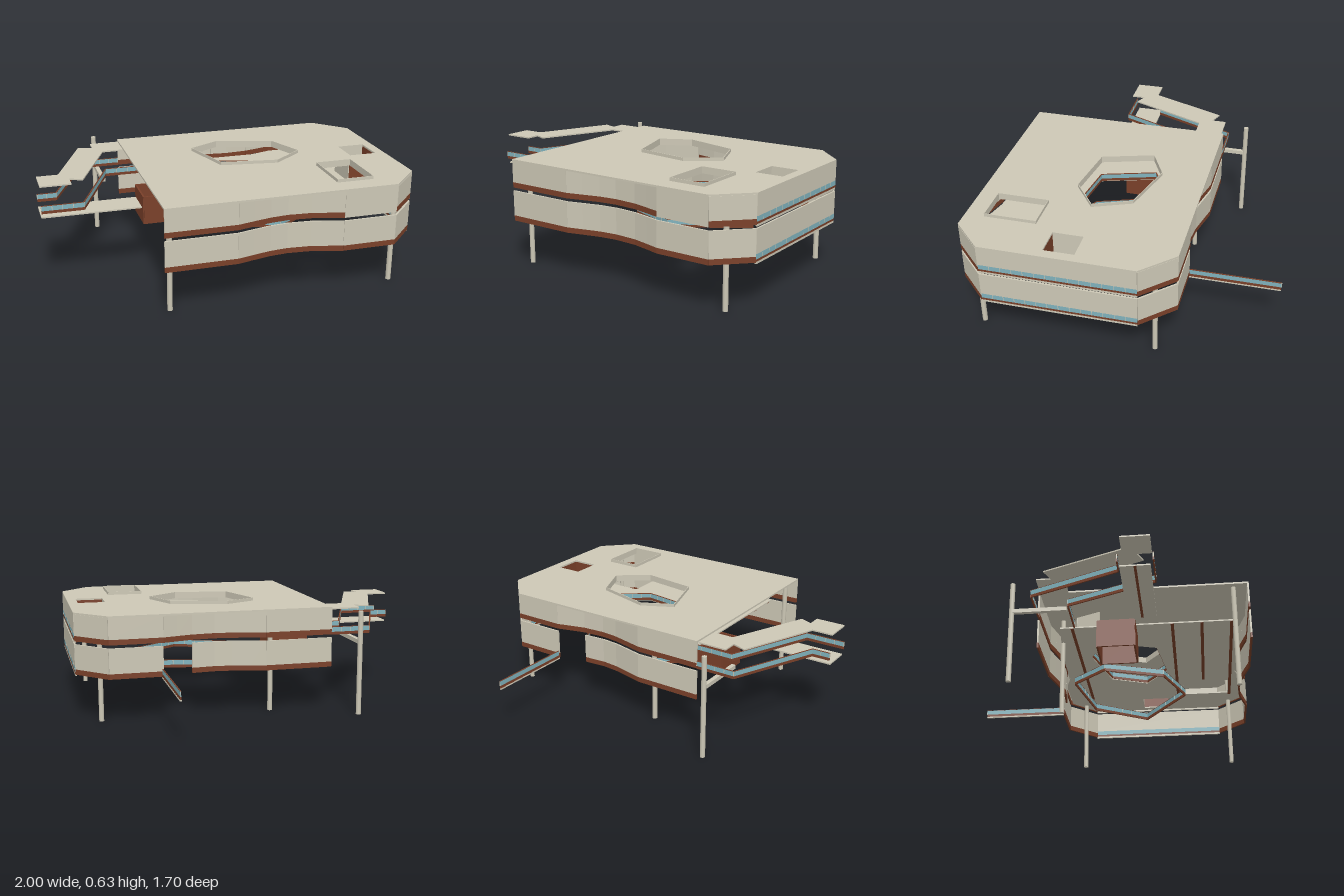
import * as THREE from 'three';

const mat = (name, color) => {
  const m = new THREE.MeshStandardMaterial({ color });
  m.name = name;
  return m;
};

export function createModel() {
  const root = new THREE.Group();
  root.name = 'building';
  const concrete = mat('concrete', 0xcdc8b6);
  const rust = mat('rust brown', 0x7a4029);
  const glass = mat('blue glass', 0x80b2bc);

  const add = (name, geo, m) => {
    const mesh = new THREE.Mesh(geo, m);
    mesh.name = name;
    root.add(mesh);
    return mesh;
  };
  const box = (name, x0, x1, y0, y1, z0, z1, m) =>
    add(name, new THREE.BoxGeometry(x1 - x0, y1 - y0, z1 - z0)
      .translate((x0 + x1) / 2, (y0 + y1) / 2, (z0 + z1) / 2), m);

  // Flat slab from a plan outline in x and z, with holes
  const vec = pts => pts.map(([x, z]) => new THREE.Vector2(x, z));
  const slab = (name, pts, holes, y0, y1, m) => {
    const shape = new THREE.Shape(vec(pts));
    holes.forEach(h => shape.holes.push(new THREE.Path(vec(h))));
    const g = new THREE.ExtrudeGeometry(shape, { depth: y1 - y0, bevelEnabled: false });
    return add(name, g.rotateX(Math.PI / 2).translate(0, y1, 0), m);
  };

  // Thin upright wall following a plan path
  const wall = (name, pts, y0, y1, m, t = 0.01) => {
    for (let i = 0; i < pts.length - 1; i++) {
      const [ax, az] = pts[i], [bx, bz] = pts[i + 1];
      const g = new THREE.BoxGeometry(Math.hypot(bx - ax, bz - az), y1 - y0, t);
      const w = add(name, g, m);
      w.position.set((ax + bx) / 2, (y0 + y1) / 2, (az + bz) / 2);
      w.rotation.y = -Math.atan2(bz - az, bx - ax);
    }
  };
  const scaled = (pts, s, cx, cz) => pts.map(([x, z]) => [cx + (x - cx) * s, cz + (z - cz) * s]);
  const rect = (x0, x1, z0, z1) => [[x0, z0], [x1, z0], [x1, z1], [x0, z1]];
  const closed = pts => [...pts, pts[0]];

  // Roof with courtyard and two skylight openings
  const court = [[-0.07, 0], [0.105, -0.088], [0.425, 0], [0.51, 0.21], [0.335, 0.34], [0.02, 0.295]];
  const skylight = rect(0.53, 0.733, 0.45, 0.738);
  const shaft = rect(0.787, 0.945, 0.168, 0.338);
  const outline = [[-0.45, -0.345], [0.83, -0.345], [1, -0.17], [1, 0.68], [0.83, 0.85], [-0.45, 0.85]];
  slab('roof', outline, [court, skylight, shaft], 0.6, 0.61, concrete);
  wall('courtyardRim', closed(scaled(court, 1.005, 0.22, 0.13)), 0.59, 0.628, concrete, 0.004);
  wall('skylightRim', closed(scaled(skylight, 1.01, 0.63, 0.595)), 0.59, 0.628, concrete, 0.003);

  // Shaft below the small opening, brown on two sides
  const [s0, s1, s2, s3] = scaled(shaft, 1.08, 0.866, 0.253);
  wall('shaftWall', [s1, s2, s3], 0.456, 0.6, rust);
  wall('shaftWall', [s3, s0, s1], 0.456, 0.6, concrete);

  // Upper floor inside the facade, with thin brown strips below
  const floorEdge = [[-0.3, -0.24], [0.08, -0.28], [0.4, -0.28], [0.53, -0.32], [0.82, -0.32], [0.98, -0.16],
    [0.98, 0.67], [0.82, 0.83], [0.53, 0.83], [0.4, 0.78], [0.08, 0.78], [-0.3, 0.78]];
  const court2 = scaled(court, 1.06, 0.22, 0.13);
  slab('upperFloor', floorEdge, [court2, skylight, shaft], 0.448, 0.456, concrete);
  for (const z of [-0.17, 0.41, 0.58, 0.75]) {
    const end = z > 0.43 && z < 0.75 ? 0.5 : 0.75;
    box('floorStrip', -0.3, end, 0.445, 0.448, z - 0.009, z + 0.009, rust);
  }

  // Railings are a brown base, a glass strip with posts and a slim cap
  const railing = (name, pts, y) => {
    wall(name + 'Base', pts, y, y + 0.016, rust, 0.007);
    wall(name + 'Glass', pts, y + 0.016, y + 0.043, glass, 0.005);
    wall(name + 'Cap', pts, y + 0.043, y + 0.045, rust, 0.007);
    for (let i = 0; i < pts.length - 1; i++) {
      const [ax, az] = pts[i], [bx, bz] = pts[i + 1];
      const n = Math.max(1, Math.round(Math.hypot(bx - ax, bz - az) / 0.06));
      for (let k = 0; k <= n; k++) {
        const x = ax + (bx - ax) * k / n, z = az + (bz - az) * k / n;
        box(name + 'Post', x - 0.0015, x + 0.0015, y + 0.016, y + 0.043, z - 0.003, z + 0.003, concrete);
      }
    }
  };
  railing('upperCourtRailing', closed(court2), 0.453);
  railing('lowerCourtRailing',
    closed([[-0.1, 0], [0.08, -0.2], [0.5, -0.12], [0.7, 0.2], [0.32, 0.46], [0.02, 0.34]]), 0.26);

  // Room wall behind the courtyard
  wall('courtRoomWall', [[-0.2, -0.02], [-0.14, -0.16], [0.06, -0.225]], 0.456, 0.6, concrete);

  // Gently waving front and back facades, y is the bottom of the storey
  const wave = [[-0.45, 0], [-0.06, 0], [0.03, 0.022], [0.13, 0.045], [0.23, 0.055], [0.36, 0.045],
    [0.45, 0.022], [0.53, 0], [0.83, 0]];
  const front = wave.map(([x, d]) => [x, 0.845 - d]);
  const back = wave.map(([x, d]) => [x, -0.34 + d]);
  const storey = (name, pts, y, h) => {
    wall(name + 'Base', pts, y, y + 0.03, rust);
    wall(name, pts, y + 0.03, y + h, concrete);
  };
  storey('upperFrontFacade', front.slice(0, 8), 0.45, 0.15);
  wall('upperFrontFacadeEnd', front.slice(7), 0.45, 0.6, concrete);
  storey('lowerFrontFacade', front, 0.26, 0.172);
  storey('upperBackFacade', back, 0.45, 0.15);
  storey('lowerBackFacade', back.slice(0, 6), 0.26, 0.172);
  storey('lowerBackFacadeEnd', back.slice(7), 0.26, 0.172);

  // Chamfered corners and the long side facade with strip windows
  const corners = [[[0.83, 0.845], [0.995, 0.68]], [[0.995, -0.17], [0.83, -0.34]]];
  const side = [[0.995, 0.68], [0.995, -0.17]];
  for (const [y, h] of [[0.45, 0.15], [0.26, 0.172]]) {
    corners.forEach(c => storey('cornerFacade', c, y, h));
    wall('sideSill', side, y - 0.008, y + 0.004, concrete);
    wall('sideBase', side, y + 0.004, y + 0.016, rust);
    wall('sideWindow', side, y + 0.016, y + 0.043, glass);
    wall('sideFacade', side, y + 0.043, y + h, concrete);
    for (let i = 1; i < 14; i++) {
      const z = 0.68 - i * 0.85 / 14;
      box('windowPost', 0.998, 1.0005, y + 0.016, y + 0.043, z - 0.0015, z + 0.0015, concrete);
    }
  }

  // Entrance rail running out from the back
  const ramp = [[0.535, -0.34], [0.535, -0.85]];
  wall('entranceRailSill', ramp, 0.25, 0.258, concrete);
  railing('entranceRail', ramp, 0.258);

  // Brown entrance core near the open end
  wall('entranceCore', closed(rect(-0.41, -0.18, -0.01, 0.2)), 0.265, 0.43, rust);

  // Bent canopy, straight deck and railings of the bridge
  slab('bridgeCanopy', [[-1, 0.17], [-0.88, 0.17], [-0.7, -0.275], [-0.62, -0.245], [-0.62, -0.33],
    [-0.45, -0.33], [-0.45, -0.17], [-0.57, -0.17], [-0.76, 0.28], [-0.83, 0.25], [-0.83, 0.33],
    [-1, 0.33]], [], 0.592, 0.6, concrete);
  box('bridgeDeck', -1, -0.45, 0.416, 0.424, 0.17, 0.33, concrete);
  box('deckStrip', -1, -0.45, 0.414, 0.416, 0.243, 0.257, rust);
  const bridgeSides = [
    [[-0.45, -0.342], [-0.68, -0.342], [-0.895, 0.157], [-1, 0.157]],
    [[-0.3, -0.157], [-0.56, -0.157], [-0.77, 0.344], [-1, 0.344]]
  ];
  bridgeSides.forEach(p => railing('bridgeRailing', p, 0.448));

  // Columns
  const column = (name, x, z) =>
    add(name, new THREE.CylinderGeometry(0.0145, 0.0145, 0.6, 8).rotateY(Math.PI / 8)
      .translate(x, 0.3, z), concrete);
  for (const [x, z] of [[-0.406, 0.764], [0.868, 0.744], [0.868, -0.232], [-0.108, -0.25]]) {
    column('column', x, z);
  }
  column('bridgeColumn', -0.575, -0.468);
  box('bridgeBeam', -0.587, -0.563, 0.412, 0.435, -0.46, -0.16, concrete);
  return root;
}
